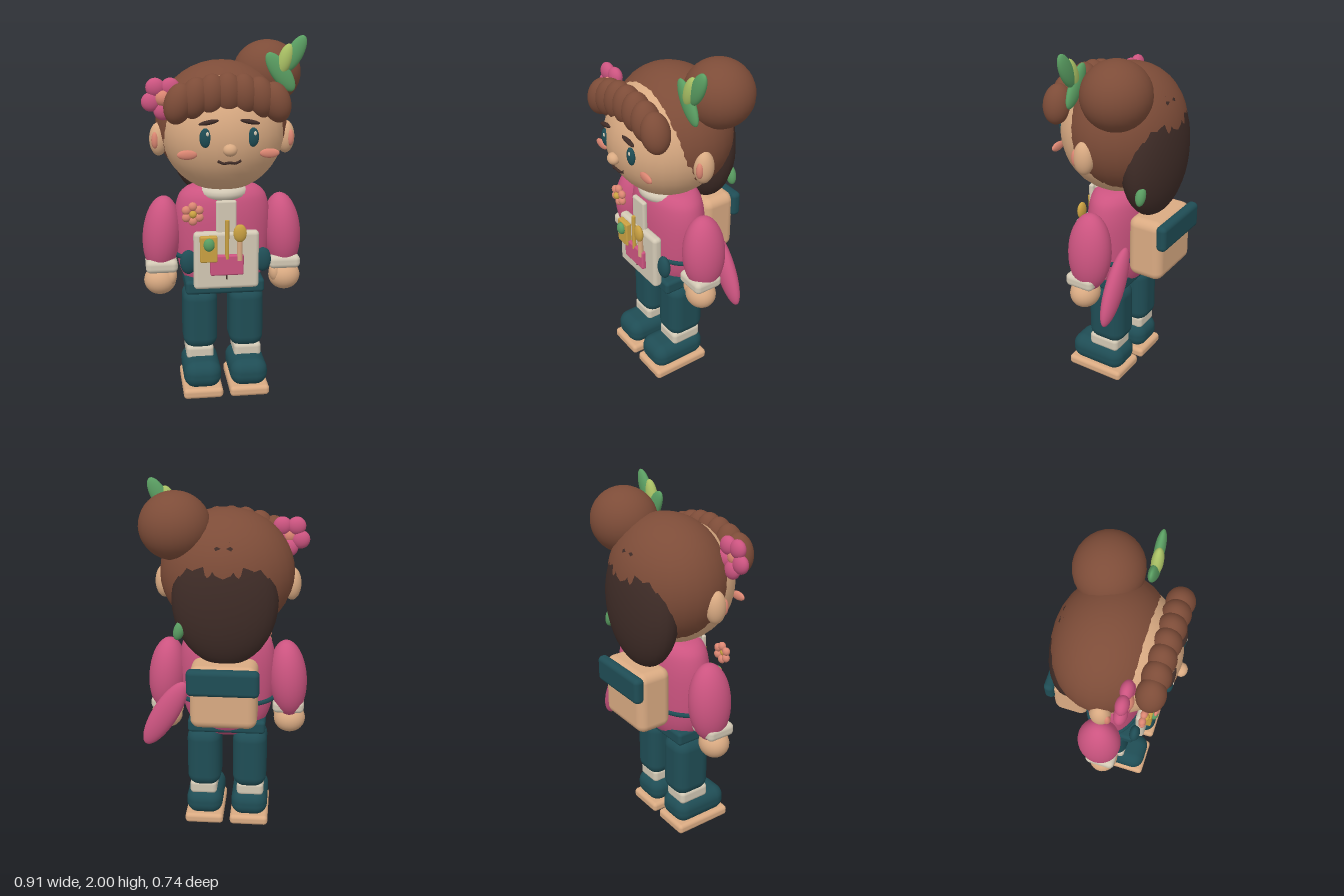
import * as THREE from 'three';
import { RoundedBoxGeometry } from 'three/addons/geometries/RoundedBoxGeometry.js';

const mat = (name, color) => {
  const m = new THREE.MeshStandardMaterial({ color });
  m.name = name;
  return m;
};

export function createModel() {
  const hair = mat('chestnut hair', 0x7d4c38);
  const dark = mat('dark brown', 0x3f2c27);
  const skin = mat('tan skin', 0xd9aa82);
  const pink = mat('rose pink', 0xcc5480);
  const teal = mat('deep teal', 0x1f4d55);
  const cream = mat('cream', 0xd2c8b4);
  const green = mat('leaf green', 0x5a9e62);
  const lime = mat('light green', 0xa9c064);
  const gold = mat('gold', 0xcaa142);
  const coral = mat('coral', 0xdb8672);

  const model = new THREE.Group();
  model.name = 'character';
  const body = new THREE.Group();
  body.name = 'body';
  body.position.x = -0.008;
  model.add(body);

  const add = (name, geo, m, pos, parent = body) => {
    const mesh = new THREE.Mesh(geo, m);
    mesh.name = name;
    mesh.position.set(...pos);
    parent.add(mesh);
    return mesh;
  };
  const ball = new THREE.SphereGeometry(1, 28, 20);
  const blob = (name, m, pos, radii, rotZ = 0, parent = body) => {
    const mesh = add(name, ball, m, pos, parent);
    mesh.scale.set(...radii);
    mesh.rotation.z = rotZ;
    return mesh;
  };
  const box = (name, m, pos, size, r, parent = body) =>
    add(name, new RoundedBoxGeometry(...size, 4, r), m, pos, parent);
  const flower = (name, n, start, ring, petal, m, centre, pos) => {
    const g = new THREE.Group();
    g.name = name;
    g.position.set(...pos);
    for (let i = 0; i < n; i++) {
      const a = start + (i / n) * Math.PI * 2;
      blob('petal', m, [Math.cos(a) * ring, Math.sin(a) * ring, 0], petal, 0, g);
    }
    blob('flowerCentre', centre, [0, 0, 0.012], [petal[0] * 0.85, petal[0] * 0.85, petal[2]], 0, g);
    body.add(g);
  };

  // Head and hair
  blob('head', skin, [0, 1.5, 0.01], [0.335, 0.335, 0.325]);
  blob('hairCap', hair, [0, 1.53, -0.03], [0.36, 0.34, 0.3]);
  blob('backHair', dark, [0, 1.42, -0.2], [0.28, 0.36, 0.14]);
  blob('hairBun', hair, [0.265, 1.79, -0.125], [0.188, 0.178, 0.18]);
  for (let i = -3; i <= 3; i++) {
    const x = i * 0.084;
    blob('fringeLock', hair, [x, 1.72 - x * x * 0.75, 0.245], [0.074, 0.107, 0.075], x * 1.1);
  }

  // Face and ears
  for (const s of [-1, 1]) {
    blob('eye', teal, [s * 0.122, 1.505, 0.307], [0.031, 0.05, 0.018]);
    blob('eyeHighlight', cream, [s * 0.122 + 0.009, 1.527, 0.323], [0.008, 0.011, 0.004]);
    blob('eyebrow', dark, [s * 0.105, 1.585, 0.312], [0.053, 0.012, 0.014], -s * 0.18);
    blob('cheek', coral, [s * 0.214, 1.415, 0.28], [0.052, 0.025, 0.014]);
    blob('ear', skin, [s * 0.347, 1.455, 0.02], [0.05, 0.09, 0.055]);
    blob('innerEar', coral, [s * 0.367, 1.455, 0.06], [0.02, 0.045, 0.02]);
  }
  blob('nose', skin, [0, 1.445, 0.338], [0.037, 0.032, 0.032]);
  const smile = new THREE.CatmullRomCurve3([
    [-0.06, 1.385, 0.312], [-0.03, 1.374, 0.32], [0, 1.378, 0.323], [0.03, 1.374, 0.32], [0.06, 1.385, 0.312],
  ].map((p) => new THREE.Vector3(...p)));
  add('mouth', new THREE.TubeGeometry(smile, 20, 0.007, 8), dark, [0, 0, 0]);

  // Hair ornaments
  flower('hairFlower', 5, 0.94, 0.066, [0.05, 0.05, 0.034], pink, coral, [-0.325, 1.69, 0.138]);
  blob('lowerLeaf', green, [0.3, 1.81, 0.09], [0.05, 0.122, 0.026], 0.62);
  blob('upperLeaf', green, [0.375, 1.905, 0.09], [0.045, 0.105, 0.026], -0.5);
  blob('leafKnot', lime, [0.323, 1.875, 0.095], [0.038, 0.085, 0.03], -0.3);
  blob('hairLeaf', green, [0.235, 1.265, -0.25], [0.03, 0.055, 0.027], 0.3);

  // Sweater and collar
  const profile = [[0, 0.555], [0.1, 0.57], [0.19, 0.63], [0.24, 0.72], [0.262, 0.85], [0.268, 1],
    [0.255, 1.1], [0.225, 1.16], [0.16, 1.195], [0, 1.21]].map(([x, y]) => new THREE.Vector2(x, y));
  const smooth = new THREE.SplineCurve(profile).getPoints(36);
  smooth[0].x = smooth[36].x = 0;
  add('sweater', new THREE.LatheGeometry(smooth, 40), pink, [0, 0, 0]).scale.z = 0.61;
  const collar = add('collar', new THREE.TorusGeometry(0.11, 0.034, 12, 36), cream, [0, 1.165, 0.025]);
  collar.rotation.x = Math.PI / 2;

  // Arms and legs
  for (const s of [-1, 1]) {
    blob('sleeve', pink, [s * 0.34, 0.91, 0], [0.106, 0.225, 0.122], s * 0.08);
    box('cuff', cream, [s * 0.346, 0.75, 0.022], [0.177, 0.075, 0.17], 0.028);
    blob('hand', skin, [s * 0.355, 0.655, 0.025], [0.09, 0.083, 0.082]);
    blob('thumb', skin, [s * 0.292, 0.68, 0.055], [0.03, 0.052, 0.035], s * 0.15);
    box('trouserLeg', teal, [s * 0.132, 0.425, 0.002], [0.195, 0.37, 0.225], 0.07);
    box('sock', cream, [s * 0.137, 0.225, 0.01], [0.157, 0.085, 0.188], 0.025);
    box('shoe', teal, [s * 0.132, 0.128, 0.06], [0.213, 0.155, 0.34], 0.068);
    box('sole', skin, [s * 0.132, 0.031, 0.06], [0.224, 0.06, 0.355], 0.022);
  }
  box('waistband', teal, [0, 0.64, 0.025], [0.44, 0.08, 0.27], 0.02);

  // Apron with its ties
  box('apronPanel', cream, [0, 0.812, 0.185], [0.357, 0.325, 0.055], 0.022);
  box('apronBib', cream, [0, 1.03, 0.185], [0.112, 0.23, 0.03], 0.012);
  const tie = add('apronTie', new THREE.TorusGeometry(0.262, 0.014, 8, 48), teal, [0, 0.8, 0]);
  tie.rotation.x = Math.PI / 2;
  tie.scale.y = 0.62;
  for (const s of [-1, 1]) blob('tieBow', teal, [s * 0.205, 0.8, 0.168], [0.046, 0.068, 0.03]);

  // Apron pocket, badge and tools
  box('pocket', pink, [0, 0.793, 0.22], [0.182, 0.115, 0.03], 0.01);
  box('pocketStitch', dark, [0, 0.722, 0.213], [0.008, 0.03, 0.008], 0.003);
  box('badge', gold, [-0.1, 0.888, 0.227], [0.094, 0.145, 0.034], 0.008);
  blob('badgeGem', green, [-0.1, 0.918, 0.25], [0.03, 0.036, 0.022]);
  add('stick', new THREE.CylinderGeometry(0.011, 0.011, 0.215, 12), gold, [0, 0.938, 0.228]);
  add('spoonHandle', new THREE.CylinderGeometry(0.015, 0.015, 0.13, 12), skin, [0.068, 0.885, 0.23]);
  blob('spoonHead', gold, [0.068, 0.975, 0.24], [0.036, 0.05, 0.02]);
  flower('brooch', 6, 0.52, 0.04, [0.024, 0.024, 0.02], coral, gold, [-0.182, 1.082, 0.208]);

  // Backpack and the trailing pink sash
  box('backpack', skin, [0, 0.908, -0.235], [0.36, 0.355, 0.205], 0.05);
  box('backpackFlap', teal, [0, 1.01, -0.343], [0.385, 0.147, 0.06], 0.026);
  blob('sash', pink, [0.338, 0.737, -0.157], [0.072, 0.222, 0.047], 0.54);

  return model;
}
